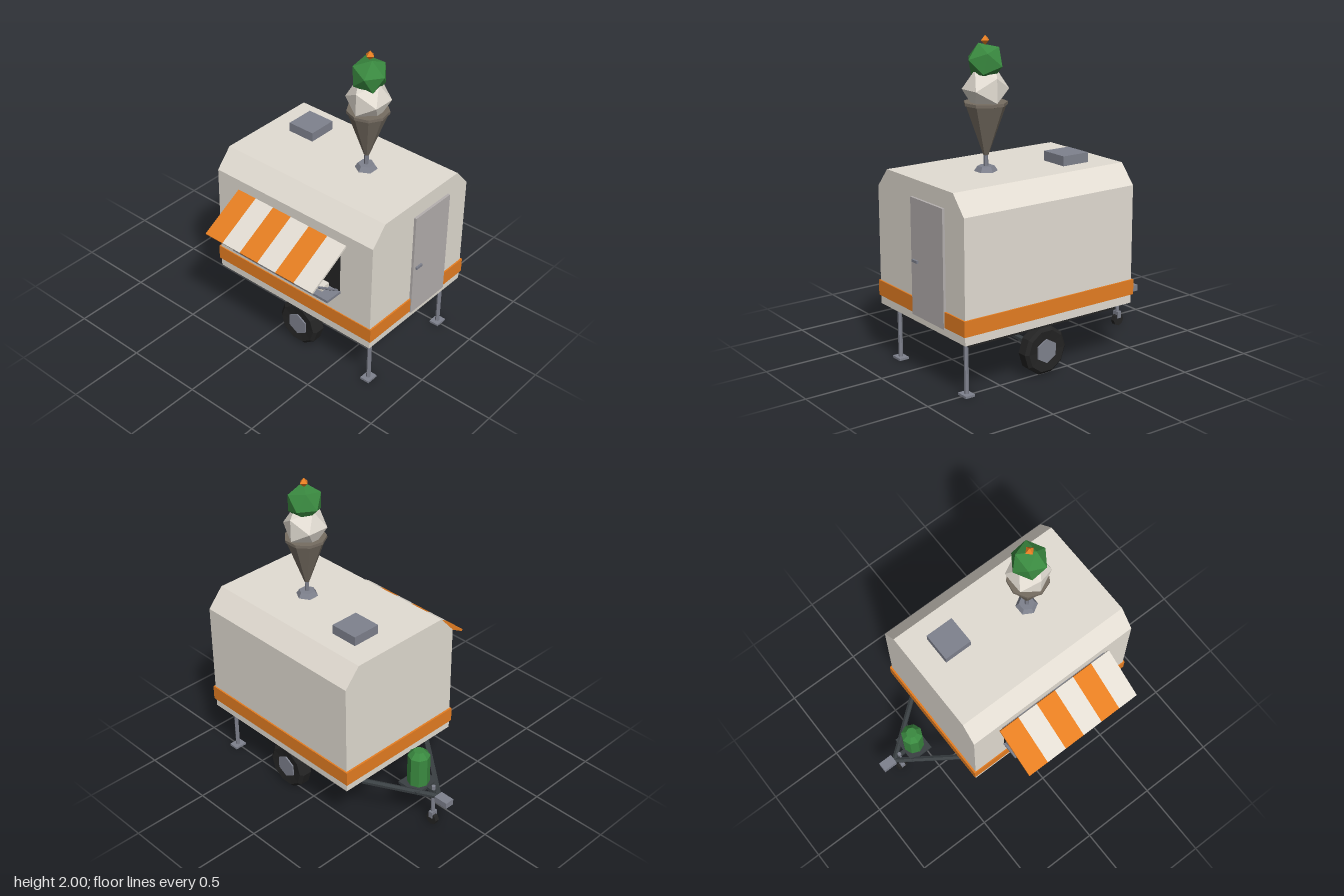
import * as THREE from 'three';

const mat = (name, color) => {
  const m = new THREE.MeshStandardMaterial({ color });
  m.name = name;
  return m;
};

export function createModel() {
  const cream = mat('cream', 0xe3ddd3), orange = mat('orange', 0xe67e22), green = mat('green', 0x3a8a40),
    black = mat('black', 0x242424), darkMetal = mat('dark metal', 0x3a4043), metal = mat('grey metal', 0x7f828e),
    doorGrey = mat('door grey', 0xb5b0af), waffle = mat('waffle', 0x766d62);
  const root = new THREE.Group();
  const midZ = -0.15;

  // Adds a faceted mesh
  const add = (name, geo, material, x = 0, y = 0, z = 0, parent = root) => {
    const g = geo.index ? geo.toNonIndexed() : geo;
    g.computeVertexNormals();
    const mesh = new THREE.Mesh(g, material);
    mesh.name = name;
    mesh.position.set(x, y, z);
    parent.add(mesh);
    return mesh;
  };
  // Box given by its limits on each axis
  const box = (name, material, [x0, x1], [y0, y1], [z0, z1]) =>
    add(name, new THREE.BoxGeometry(x1 - x0, y1 - y0, z1 - z0), material, (x0 + x1) / 2, (y0 + y1) / 2, (z0 + z1) / 2);
  // Round bar between two points
  const bar = (name, material, a, b, r, sides = 6) => {
    const p = new THREE.Vector3(...a), q = new THREE.Vector3(...b), d = q.clone().sub(p);
    const m = add(name, new THREE.CylinderGeometry(r, r, d.length(), sides), material);
    m.position.copy(p).add(q).multiplyScalar(0.5);
    m.quaternion.setFromUnitVectors(new THREE.Vector3(0, 1, 0), d.normalize());
    return m;
  };
  const lathe = (pts, sides) => new THREE.LatheGeometry(pts.map(p => new THREE.Vector2(...p)), sides);

  // Body: chamfered cross-section run along x
  const section = new THREE.Shape([
    [-0.45, 0.345], [0.45, 0.345], [0.45, 1.085], [0.345, 1.205], [-0.345, 1.205], [-0.45, 1.085],
  ].map(p => new THREE.Vector2(...p)));
  const bodyGeo = new THREE.ExtrudeGeometry(section, { depth: 1.22, bevelEnabled: false });
  bodyGeo.rotateY(Math.PI / 2);
  add('body', bodyGeo, cream, -0.41, 0, midZ);
  box('band', orange, [-0.422, 0.82], [0.4, 0.495], [-0.61, 0.307]);
  box('chassis', black, [-0.345, 0.74], [0.3, 0.346], [-0.53, 0.23]);

  // Rear door and handle
  box('door', doorGrey, [0.808, 0.826], [0.39, 1.1], [-0.41, -0.08]);
  box('doorHandle', metal, [0.825, 0.838], [0.717, 0.733], [-0.155, -0.1]);

  // Serving window, counter and goods
  box('servingWindow', black, [-0.18, 0.575], [0.655, 0.99], [0.296, 0.304]);
  box('counter', metal, [-0.185, 0.58], [0.642, 0.66], [0.295, 0.42]);
  add('bottle', new THREE.CylinderGeometry(0.014, 0.014, 0.095, 8), green, -0.06, 0.707, 0.345);
  box('napkins', cream, [0.37, 0.5], [0.66, 0.688], [0.31, 0.375]);
  box('awningHinge', metal, [-0.2, 0.6], [0.988, 1.008], [0.298, 0.312]);

  // Striped awning with its two props
  const awning = new THREE.Group();
  awning.name = 'awning';
  awning.position.set(0.2, 0.938, 0.458);
  awning.rotation.x = Math.atan2(0.17, 0.295);
  root.add(awning);
  const stripe = 0.85 / 6;
  for (let i = 0; i < 6; i++) {
    add('awningStripe', new THREE.BoxGeometry(stripe, 0.014, 0.34), i % 2 ? cream : orange, (i - 2.5) * stripe, 0, 0, awning);
  }
  for (const x of [-0.165, 0.558]) bar('awningProp', metal, [x, 0.66, 0.305], [x, 0.86, 0.578], 0.008);

  // Roof vent
  box('roofVent', metal, [-0.25, -0.063], [1.2, 1.265], [-0.37, -0.18]);

  // Rooftop cone sign
  const sx = 0.365, sz = -0.18;
  add('signBase', new THREE.CylinderGeometry(0.05, 0.07, 0.03, 6), metal, sx, 1.22, sz);
  bar('signPost', metal, [sx, 1.23, sz], [sx, 1.32, sz], 0.014);
  add('cone', lathe([[0, 1.3], [0.016, 1.3], [0.122, 1.595], [0.13, 1.597], [0.13, 1.615], [0, 1.615]], 9), waffle, sx, 0, sz);
  add('lowerScoop', new THREE.IcosahedronGeometry(0.137), cream, sx, 1.69, sz);
  add('upperScoop', new THREE.IcosahedronGeometry(0.116), green, sx, 1.846, sz).rotation.set(0.4, 0.6, 0.2);
  add('cherry', new THREE.OctahedronGeometry(0.03), orange, sx, 1.97, sz);

  // Wheels, axle hangers and rear legs on both sides
  const tyreProfile = [[0.06, -0.04], [0.13, -0.048], [0.15, -0.03], [0.15, 0.03], [0.13, 0.048], [0.06, 0.04]];
  for (const s of [1, -1]) {
    const wz = midZ + s * 0.355;
    const tyre = lathe(tyreProfile, 10);
    tyre.rotateX(Math.PI / 2);
    tyre.rotateZ(Math.PI / 10);
    add('tyre', tyre, black, 0.197, 0.158, wz);
    const hub = new THREE.CylinderGeometry(0.075, 0.075, 0.1, 6);
    hub.rotateX(Math.PI / 2);
    add('hub', hub, metal, 0.197, 0.158, wz);
    const hz = midZ + s * 0.28;
    box('axleHanger', darkMetal, [0.17, 0.225], [0.145, 0.302], [hz - 0.012, hz + 0.012]);
    bar('rearLeg', metal, [0.74, 0.01, wz], [0.74, 0.305, wz], 0.014);
    box('legFoot', metal, [0.708, 0.772], [0, 0.014], [wz - 0.04, wz + 0.04]);
    bar('towBar', darkMetal, [-0.745, 0.24, midZ], [-0.37, 0.308, midZ + s * 0.285], 0.018);
  }
  bar('axle', darkMetal, [0.197, 0.16, midZ - 0.32], [0.197, 0.16, midZ + 0.32], 0.018);

  // Hitch and jockey wheel
  box('hitch', metal, [-0.84, -0.745], [0.22, 0.26], [-0.188, -0.125]);
  bar('jockeyPost', metal, [-0.7, 0.075, midZ], [-0.7, 0.295, midZ], 0.013);
  box('jockeyFork', metal, [-0.714, -0.686], [0.055, 0.1], [-0.173, -0.127]);
  box('jockeyBracket', darkMetal, [-0.715, -0.63], [0.25, 0.27], [-0.165, -0.14]);
  const jockey = new THREE.CylinderGeometry(0.04, 0.04, 0.03, 8);
  jockey.rotateX(Math.PI / 2);
  add('jockeyWheel', jockey, black, -0.7, 0.042, midZ);

  // Gas bottle on its tray
  box('gasTray', darkMetal, [-0.66, -0.502], [0.255, 0.272], [-0.25, -0.065]);
  add('gasBottle', lathe([[0, 0.27], [0.07, 0.27], [0.07, 0.47], [0.035, 0.505], [0, 0.505]], 8), green, -0.58, 0, -0.157);

  return root;
}
